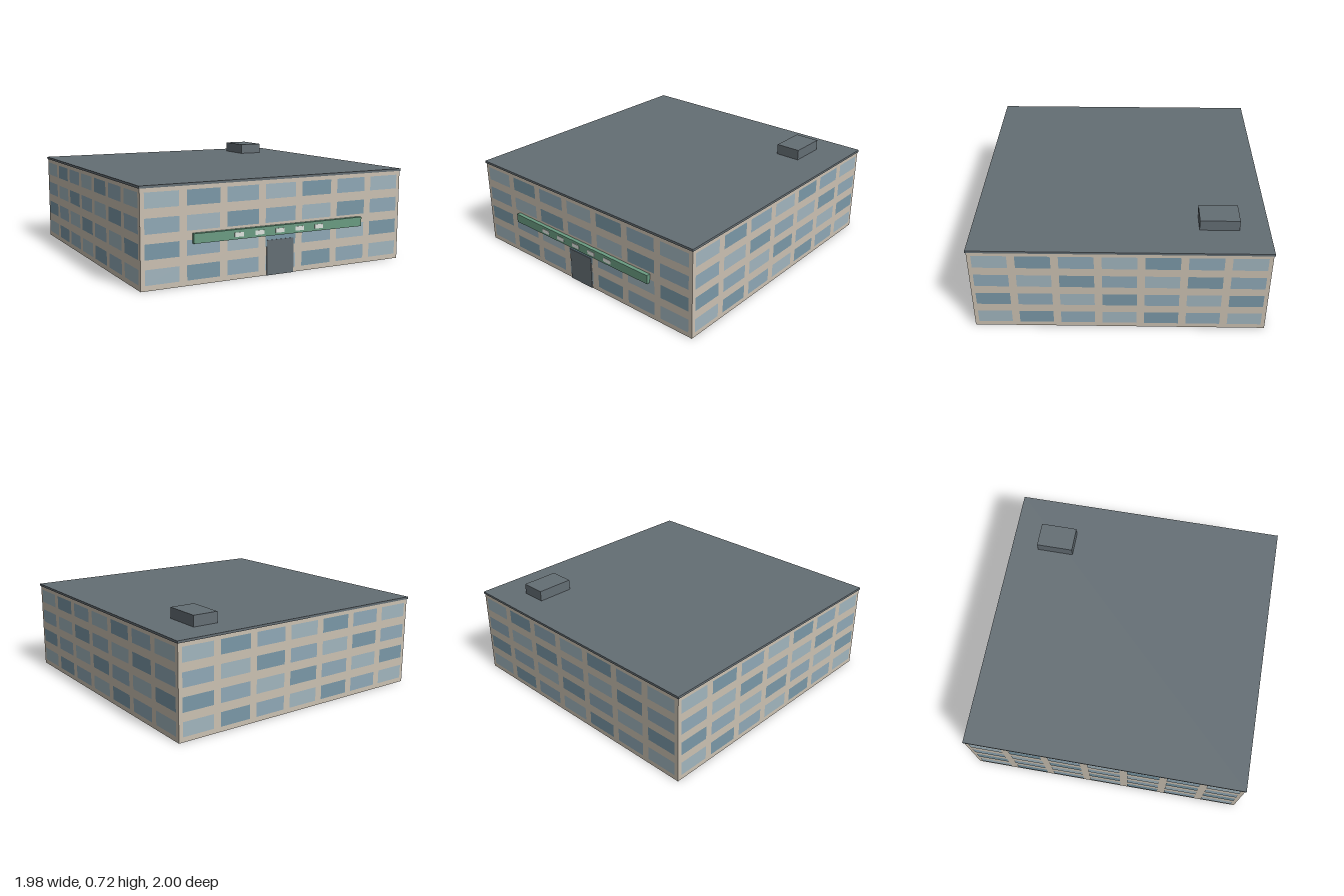
import * as THREE from 'three';

const paint = (color) => new THREE.MeshStandardMaterial({ color });
const wallPaint = paint(0xcbc1b2);
const slate = paint(0x646e74);
const green = paint(0x6a9c82);
const white = paint(0xdfe4df);
const glass = [paint(0xa1b5be), paint(0x7a98a7), paint(0x8fa8b6)];

const HALF = 0.982; // half width of the square block
const MID_Z = -0.012; // block centre in depth

// Box given by its extents on each axis
function box(name, material, [x0, x1], [y0, y1], [z0, z1]) {
  const mesh = new THREE.Mesh(new THREE.BoxGeometry(x1 - x0, y1 - y0, z1 - z0), material);
  mesh.position.set((x0 + x1) / 2, (y0 + y1) / 2, (z0 + z1) / 2);
  mesh.name = name;
  return mesh;
}

// One facade: four floors of seven panes in three alternating tints
function windowGrid(name) {
  const grid = new THREE.Group();
  grid.name = name;
  const pane = new THREE.PlaneGeometry(0.229, 0.097);
  for (let row = 0; row < 4; row++) {
    for (let col = 0; col < 7; col++) {
      const mesh = new THREE.Mesh(pane, glass[(row + col) % 3]);
      mesh.name = 'windowPane';
      mesh.position.set((col - 3) * 0.28, 0.083 + row * 0.1562, HALF + 0.002);
      grid.add(mesh);
    }
  }
  return grid;
}

export function createModel() {
  const model = new THREE.Group();
  model.name = 'officeBuilding';
  const front = MID_Z + HALF;

  // Main block and overhanging flat roof
  model.add(box('walls', wallPaint, [-HALF, HALF], [0, 0.628], [MID_Z - HALF, front]));
  model.add(box('roofSlab', slate, [-0.988, 0.988], [0.626, 0.642], [-1, 0.976]));
  model.add(box('rooftopUnit', slate, [0.56, 0.74], [0.642, 0.717], [-0.8, -0.535]));

  // Windows on all four sides
  ['front', 'left', 'back', 'right'].forEach((side, i) => {
    const grid = windowGrid(side + 'Windows');
    grid.position.z = MID_Z;
    grid.rotation.y = (i * Math.PI) / 2;
    model.add(grid);
  });

  // Entrance door
  model.add(box('door', slate, [-0.104, 0.1], [0, 0.233], [front - 0.01, front + 0.006]));

  // Fascia board with five blank plates
  model.add(box('fasciaBoard', green, [-0.638, 0.636], [0.266, 0.329], [front, 0.997]));
  for (let i = -2; i <= 2; i++) {
    const x = -0.021 + i * 0.1515;
    model.add(box('fasciaPlate', white, [x - 0.033, x + 0.033], [0.282, 0.31], [0.99, 1]));
  }
  return model;
}
